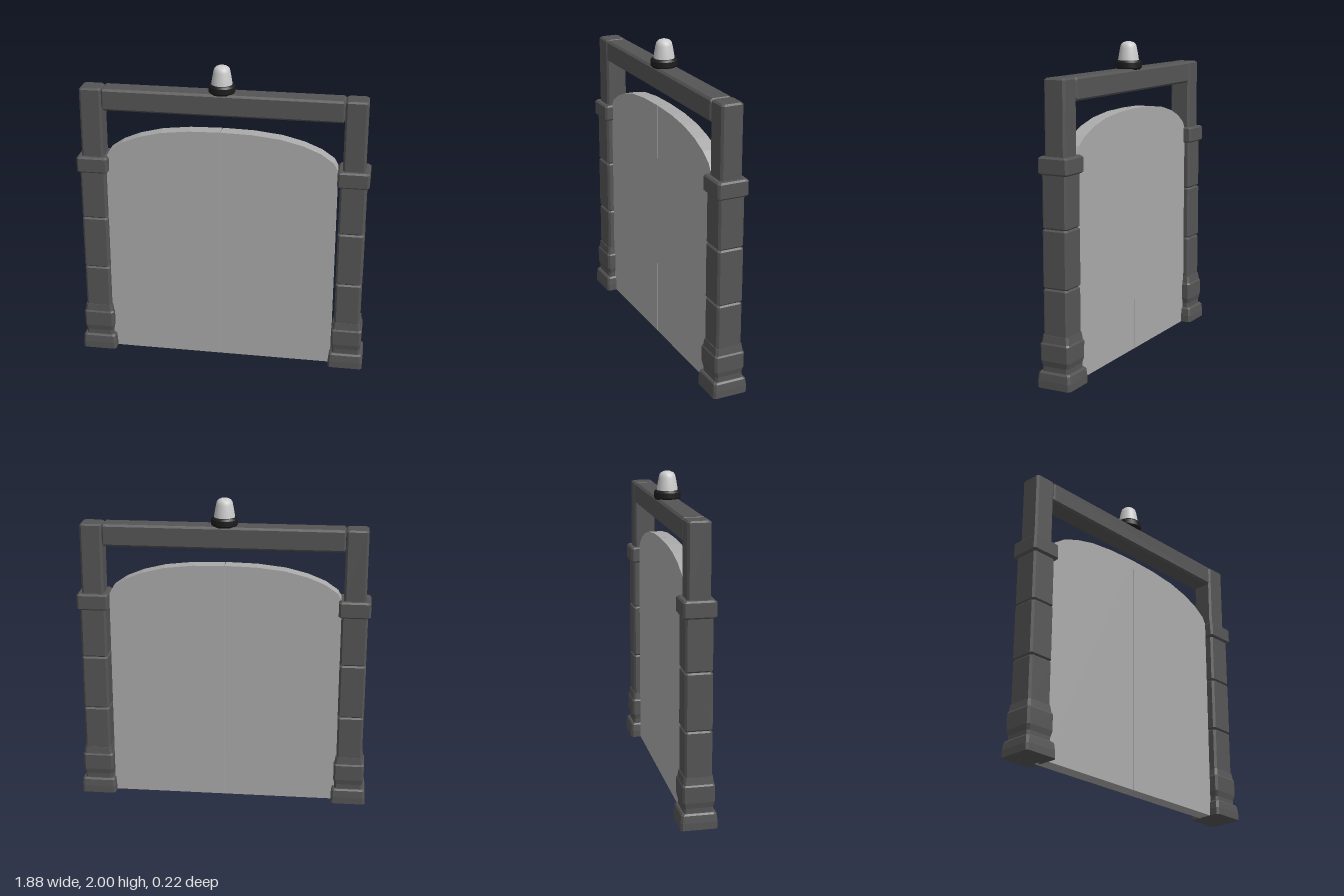
import * as THREE from 'three';
import { toCreasedNormals } from 'three/addons/utils/BufferGeometryUtils.js';

const V2 = (p) => new THREE.Vector2(p[0], p[1]);
const mat = (color) => new THREE.MeshStandardMaterial({ color });
const stone = mat(0x555555);
const panel = mat(0xaaaaaa);
const rubber = mat(0x1c1c1c);
const glass = mat(0xcccccc);
stone.flatShading = true;

function add(parent, name, geometry, material) {
  const mesh = new THREE.Mesh(geometry, material);
  mesh.name = name;
  parent.add(mesh);
  return mesh;
}

// Stack of chamfered squares: each profile row is [half width, height]
function squareLoft(profile, chamfer = 0.013) {
  const pos = [], index = [];
  for (const [h, y] of profile) {
    const i = h - chamfer;
    const ring = [[h, -i], [h, i], [i, h], [-i, h], [-h, i], [-h, -i], [-i, -h], [i, -h]];
    for (const [x, z] of ring) pos.push(x, y, z);
  }
  const last = (profile.length - 1) * 8;
  for (let r = 0; r < last; r += 8) {
    for (let k = 0; k < 8; k++) {
      const a = r + k, b = r + (k + 1) % 8;
      index.push(a, a + 8, b, b, a + 8, b + 8);
    }
  }
  for (let k = 1; k < 7; k++) {
    index.push(0, k, k + 1);
    index.push(last, last + k + 1, last + k);
  }
  const g = new THREE.BufferGeometry();
  g.setAttribute('position', new THREE.Float32BufferAttribute(pos, 3));
  g.setIndex(index);
  g.computeVertexNormals();
  return g;
}

// One block with bevelled top and bottom edges
const block = (h, y0, y1, b = 0.01) => [[h - b, y0], [h, y0 + b], [h, y1 - b], [h - b, y1]];

function createPillar() {
  const pillar = new THREE.Group();
  add(pillar, 'pillarBase', squareLoft([
    [0.112, 0], [0.112, 0.045], [0.107, 0.09], [0.098, 0.1],
  ]), stone);
  add(pillar, 'pillarPlinth', squareLoft([
    [0.09, 0.1], [0.09, 0.13], [0.098, 0.165], [0.099, 0.265], [0.093, 0.275], [0.087, 0.32],
  ]), stone);
  // Stacked shaft stones
  const joints = [0.31, 0.6, 0.955, 1.285];
  for (let i = 0; i < 3; i++) {
    add(pillar, 'shaftStone', squareLoft(block(i === 1 ? 0.084 : 0.083, joints[i], joints[i + 1])), stone);
  }
  add(pillar, 'pillarCollar', squareLoft(block(0.1, 1.275, 1.38)), stone);
  add(pillar, 'upperPost', squareLoft(block(0.07, 1.37, 1.83)), stone);
  return pillar;
}

// Half of the arched gate, cut at its centre line
function doorLeaf(side) {
  const arch = [[0.735, 1.375], [0.71, 1.42], [0.63, 1.475], [0.52, 1.52], [0.38, 1.555], [0.2, 1.575], [0.002, 1.58]];
  const outline = [[0.002, 0], [0.735, 0], ...arch].map(([x, y]) => V2([x * side, y]));
  const g = new THREE.ExtrudeGeometry(new THREE.Shape(outline), { depth: 0.09, bevelEnabled: false });
  return g.translate(-0.01, 0, -0.045);
}

export function createModel() {
  const gate = new THREE.Group();
  gate.name = 'archedGate';

  for (const side of [-1, 1]) {
    const pillar = createPillar();
    pillar.name = side > 0 ? 'leftPillar' : 'rightPillar';
    pillar.position.x = side * 0.828;
    gate.add(pillar);
    add(gate, side > 0 ? 'leftDoor' : 'rightDoor', doorLeaf(side), panel);
  }

  // Cross beam between the upper posts
  const beam = add(gate, 'crossBeam', squareLoft(block(0.07, -0.757, 0.757)), stone);
  beam.rotation.z = Math.PI / 2;
  beam.position.y = 1.76;

  // Warning lamp on top of the beam
  const lamp = new THREE.Group();
  lamp.name = 'lamp';
  lamp.position.x = -0.006;
  gate.add(lamp);
  const turned = (points, crease) => toCreasedNormals(new THREE.LatheGeometry(points.map(V2), 24), crease);
  add(lamp, 'lampBase', turned([
    [0, 1.825], [0.075, 1.825], [0.084, 1.838], [0.084, 1.87], [0.074, 1.883], [0, 1.883],
  ], 0.5), rubber);
  add(lamp, 'lampDome', turned([
    [0.067, 1.875], [0.062, 1.91], [0.053, 1.96], [0.048, 1.98], [0.037, 1.992], [0.02, 1.999], [0, 2],
  ], 0.9), glass);

  return gate;
}
